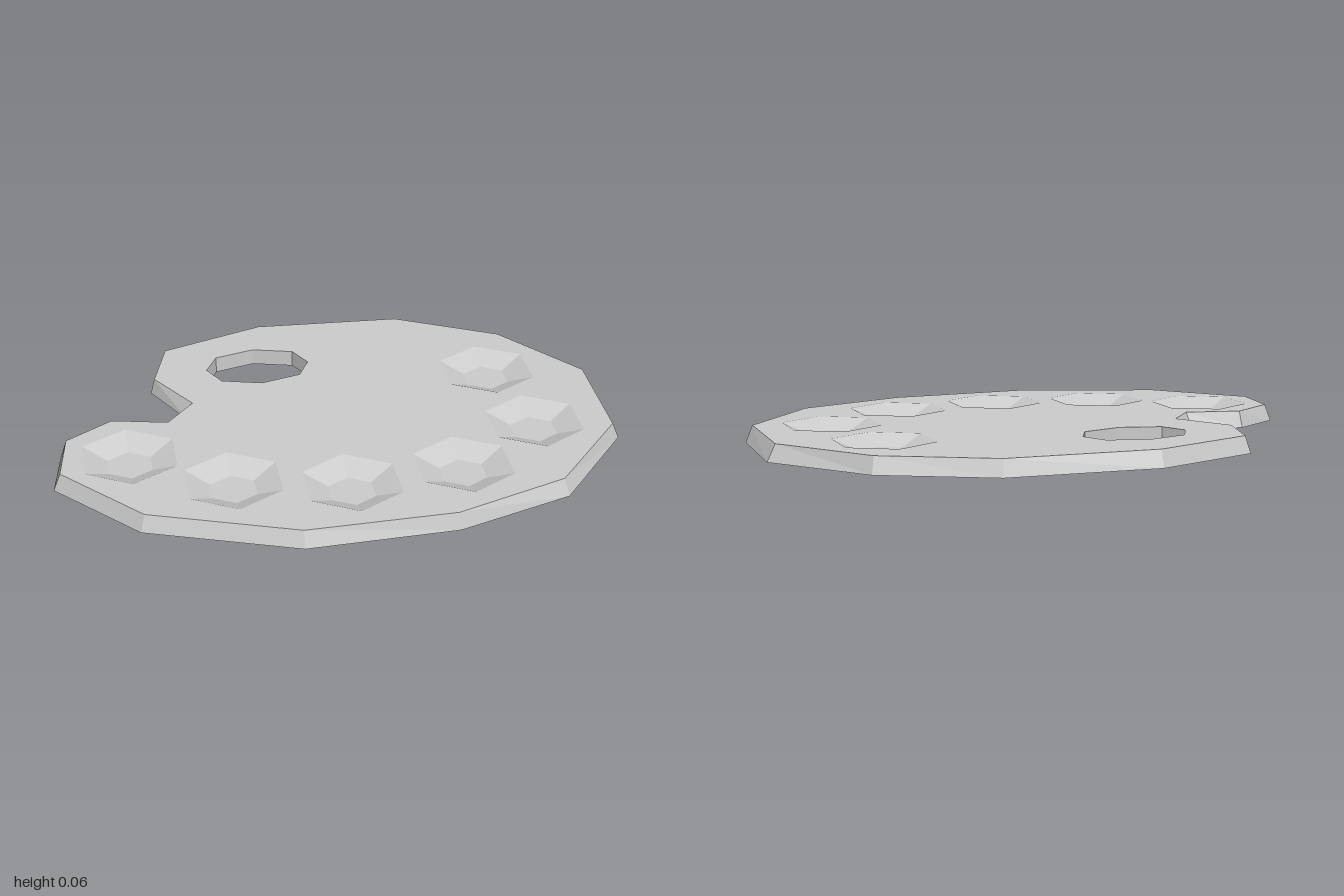
import * as THREE from 'three';

const H = 0.06, WELL_DEPTH = 0.037;
const material = new THREE.MeshStandardMaterial({ color: 0xcccccc, flatShading: true });

// Outlines as [x, z], running clockwise seen from above
const base = [
  [-0.17, -0.735], [0.37, -0.705], [0.74, -0.51], [1, -0.17], [0.985, 0.235], [0.705, 0.575],
  [0.3, 0.71], [-0.22, 0.73], [-0.73, 0.545], [-1, 0.24], [-0.965, 0.01], [-0.785, -0.105],
  [-0.6, -0.065], [-0.51, -0.16], [-0.62, -0.37], [-0.56, -0.595],
];
const rim = [
  [-0.17, -0.715], [0.365, -0.69], [0.73, -0.495], [0.97, -0.165], [0.96, 0.235], [0.69, 0.555],
  [0.295, 0.695], [-0.22, 0.71], [-0.715, 0.53], [-0.975, 0.235], [-0.945, 0.02], [-0.78, -0.09],
  [-0.585, -0.045], [-0.485, -0.165], [-0.605, -0.365], [-0.545, -0.58],
];
const thumb = [
  [0, -0.13], [0.145, -0.09], [0.19, 0], [0.145, 0.09], [0, 0.13], [-0.145, 0.09], [-0.19, 0], [-0.145, -0.09],
].map(([x, z]) => [x - 0.217, z - 0.4]);
const wells = [[0.618, -0.23], [0.693, 0.165], [0.378, 0.405], [-0.016, 0.453], [-0.405, 0.373], [-0.736, 0.16]];

// Hexagon with points toward the front and back
const hexagon = ([cx, cz], r) => Array.from({ length: 6 }, (_, i) => {
  const a = (i + 0.5) * Math.PI / 3;
  return [cx + r * Math.cos(a), cz + r * Math.sin(a)];
});

function mesh(name, geometry) {
  const m = new THREE.Mesh(geometry, material);
  m.name = name;
  return m;
}

// Flat horizontal face with holes, facing up (dir = 1) or down (dir = -1)
function plate(outline, holes, y, dir) {
  const points = loop => loop.map(([x, z]) => new THREE.Vector2(x, -dir * z));
  const shape = new THREE.Shape(points(outline));
  shape.holes = holes.map(h => new THREE.Path(points(h)));
  return new THREE.ShapeGeometry(shape).rotateX(-dir * Math.PI / 2).translate(0, y, 0);
}

// Wall between two loops: faces outward going up, inward going down
function band(from, y0, to, y1) {
  const pos = [];
  from.forEach(([ax, az], i) => {
    const j = (i + 1) % from.length;
    const a = [ax, y0, az], b = [from[j][0], y0, from[j][1]];
    const c = [to[j][0], y1, to[j][1]], d = [to[i][0], y1, to[i][1]];
    pos.push(...a, ...d, ...c, ...a, ...c, ...b);
  });
  const g = new THREE.BufferGeometry();
  g.setAttribute('position', new THREE.Float32BufferAttribute(pos, 3));
  g.computeVertexNormals();
  return g;
}

export function createModel() {
  const group = new THREE.Group();
  group.name = 'paintPalette';
  const mouths = wells.map(c => hexagon(c, 0.18));

  // Board: top, underside, slanted edge and thumb hole
  group.add(
    mesh('topFace', plate(rim, [thumb, ...mouths], H, 1)),
    mesh('underside', plate(base, [thumb], 0, -1)),
    mesh('slantedEdge', band(base, 0, rim, H)),
    mesh('thumbHole', band(thumb, H, thumb, 0)),
  );

  // Paint wells sunk into the top
  wells.forEach((c, i) => {
    const floor = hexagon(c, 0.086);
    const well = new THREE.Group();
    well.name = `paintWell${i + 1}`;
    well.add(
      mesh('wellWall', band(mouths[i], H, floor, H - WELL_DEPTH)),
      mesh('wellFloor', plate(floor, [], H - WELL_DEPTH, 1)),
    );
    group.add(well);
  });
  return group;
}
